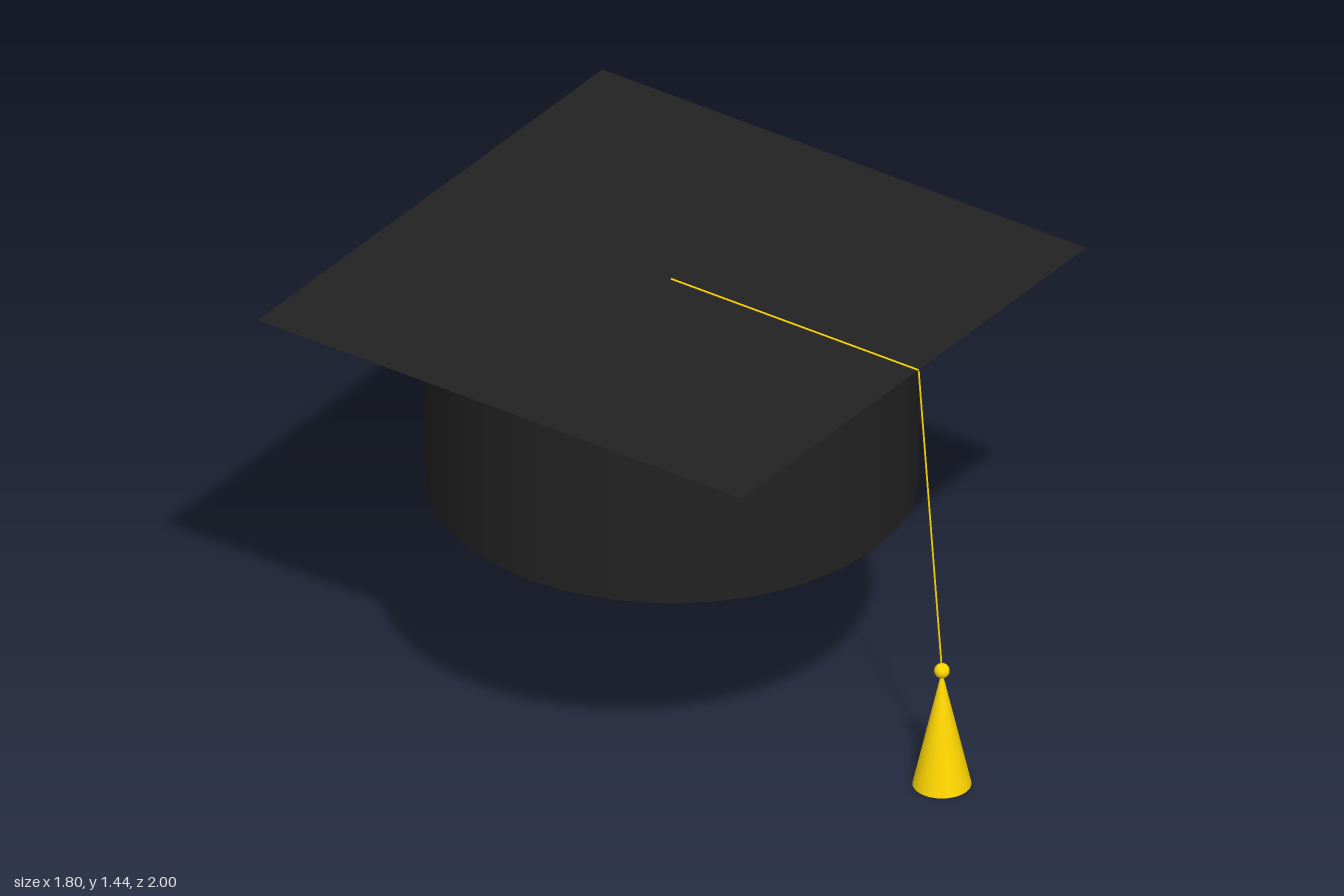
import * as THREE from 'three';

const black = new THREE.MeshStandardMaterial({ color: 0x222222, side: THREE.DoubleSide });
const gold = new THREE.MeshStandardMaterial({ color: 0xffd700 });

const CAP_Z = -0.097;    // centre of board and band
const TASSEL_Z = 0.91;

export function createModel() {
  const model = new THREE.Group();
  model.name = 'graduationCap';

  const add = (name, geometry, material, x, y, z) => {
    const mesh = new THREE.Mesh(geometry, material);
    mesh.name = name;
    mesh.position.set(x, y, z);
    model.add(mesh);
    return mesh;
  };

  // Straight piece of cord between two points
  const addCord = (name, from, to) => {
    const path = new THREE.LineCurve3(new THREE.Vector3(...from), new THREE.Vector3(...to));
    add(name, new THREE.TubeGeometry(path, 1, 0.003, 8, false), gold, 0, 0, 0);
  };

  // Thin square board
  add('board', new THREE.PlaneGeometry(1.805, 1.805).rotateX(-Math.PI / 2), black, 0, 1.42, CAP_Z);

  // Open head band
  add('headBand', new THREE.CylinderGeometry(0.752, 0.752, 0.68, 32, 1, true), black, 0, 1.08, CAP_Z);

  // Cord across the board and down to the tassel
  addCord('cordOnBoard', [0, 1.437, -0.1], [0, 1.437, 0.823]);
  addCord('hangingCord', [0, 1.437, 0.823], [0, 0.4, TASSEL_Z]);

  // Tassel
  add('tasselKnot', new THREE.SphereGeometry(0.024, 16, 12), gold, 0, 0.4, TASSEL_Z);
  add('tassel', new THREE.ConeGeometry(0.09, 0.4, 32), gold, 0, 0.2, TASSEL_Z);

  return model;
}
